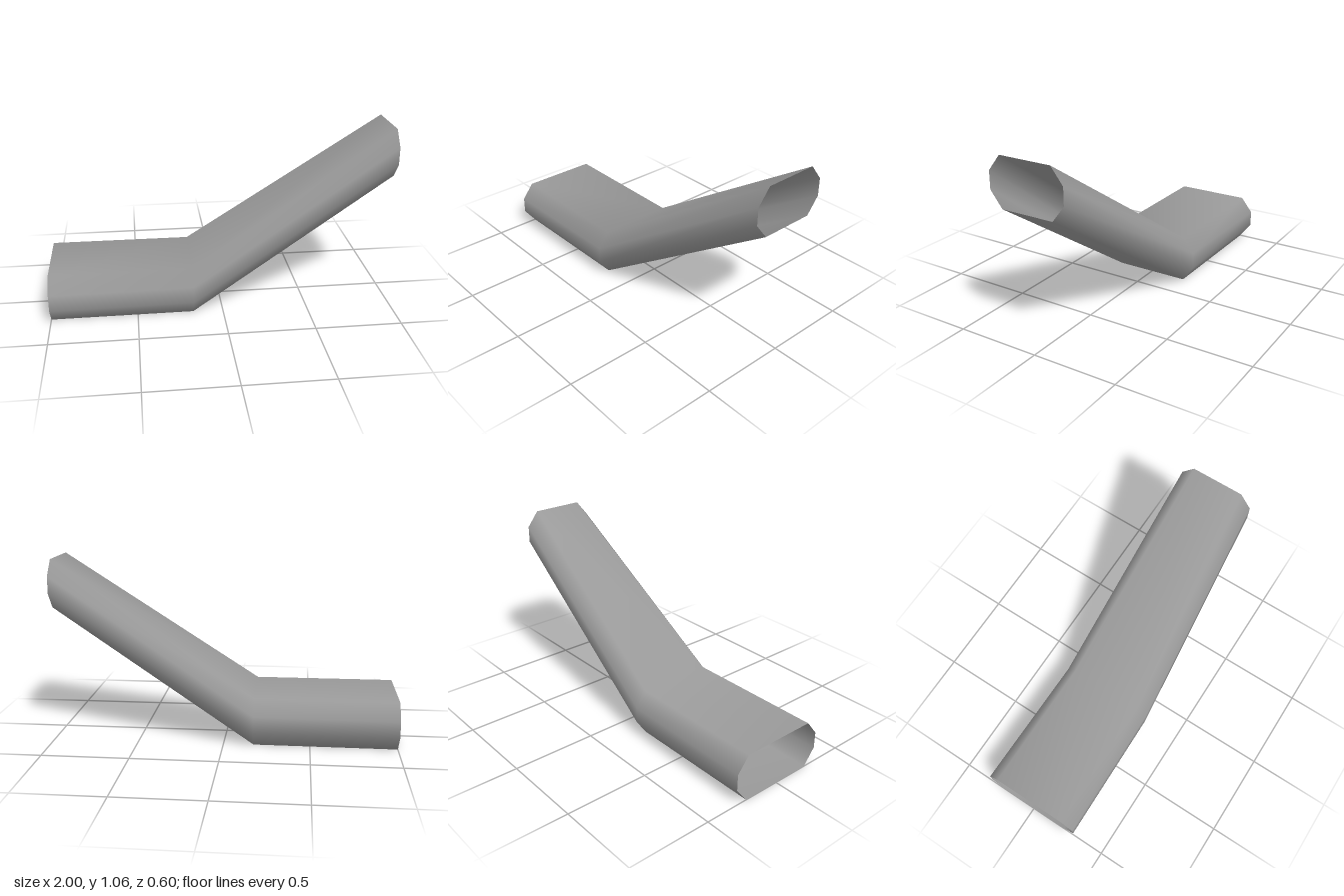
import * as THREE from 'three';

// Octagonal cross-section: chamfered rectangle in the y/z plane
function section({ x, y, top, halfWidth, flat, low, high }) {
  const half = [[top, flat], [high, halfWidth], [low, halfWidth], [0, flat]];
  const other = half.map(([h, z]) => [h, -z]).reverse();
  return [...half, ...other].map(([h, z]) => [x, y + h, z]);
}

// Skin the open sections with shared vertices for smooth shading
function loft(rings) {
  const n = rings[0].length;
  const index = [];
  for (let i = 0; i < rings.length - 1; i++) {
    for (let j = 0; j < n; j++) {
      const a = i * n + j, d = i * n + (j + 1) % n;
      index.push(a, d, a + n, d, d + n, a + n);
    }
  }
  const geometry = new THREE.BufferGeometry();
  geometry.setAttribute('position', new THREE.Float32BufferAttribute(rings.flat(2), 3));
  geometry.setIndex(index);
  geometry.computeVertexNormals();
  return geometry;
}

export function createModel() {
  const group = new THREE.Group();
  group.name = 'bentDuct';

  const grey = new THREE.MeshStandardMaterial({ color: 0x999999, side: THREE.DoubleSide });
  grey.name = 'grey';

  // Level run, bend, then a tapering rise; both ends open
  const duct = new THREE.Mesh(loft([
    section({ x: -1, y: 0, top: 0.28, halfWidth: 0.3, flat: 0.228, low: 0.093, high: 0.19 }),
    section({ x: -0.175, y: 0, top: 0.28, halfWidth: 0.29, flat: 0.224, low: 0.093, high: 0.19 }),
    section({ x: 1, y: 0.776, top: 0.28, halfWidth: 0.226, flat: 0.155, low: 0.09, high: 0.19 }),
  ]), grey);
  duct.name = 'ductShell';
  group.add(duct);
  return group;
}
